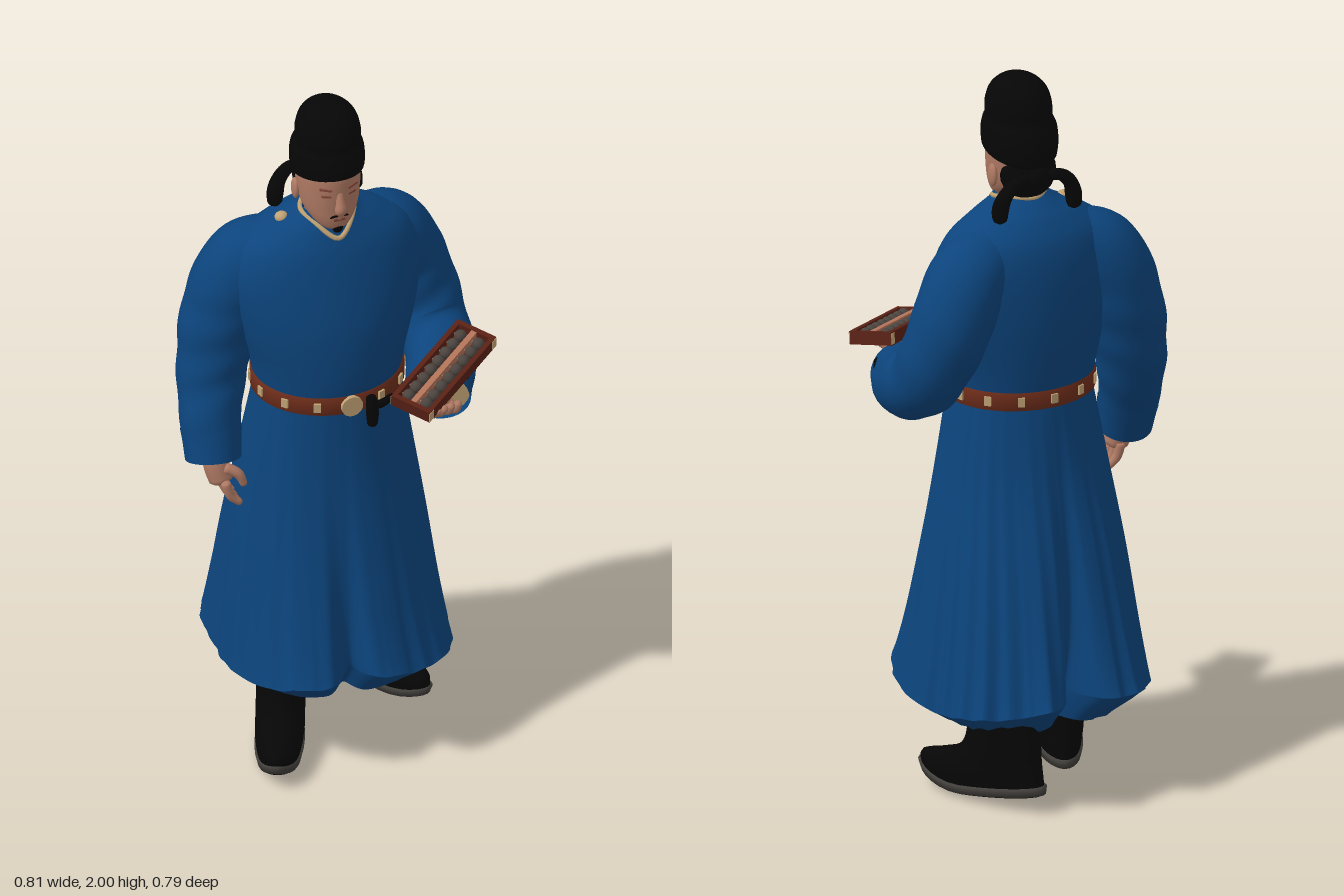
import * as THREE from 'three';
import { mergeVertices } from 'three/addons/utils/BufferGeometryUtils.js';

const mat = (name, color, side = THREE.FrontSide) => {
  const m = new THREE.MeshStandardMaterial({ color, side });
  m.name = name;
  return m;
};

// Smooth Catmull-Rom blend through a list of rows, t from 0 to 1
function blend(rows, t) {
  const n = rows.length - 1, i = Math.min(n - 1, Math.floor(t * n)), f = t * n - i;
  const [a, b, c, d] = [i - 1, i, i + 1, i + 2].map(k => rows[Math.max(0, Math.min(n, k))]);
  return b.map((_, k) => 0.5 * (2 * b[k] + (c[k] - a[k]) * f + (2 * a[k] - 5 * b[k] + 4 * c[k] - d[k]) * f * f
    + (3 * b[k] - a[k] - 3 * c[k] + d[k]) * f * f * f));
}

// Stacked horizontal rings, bottom to top; each section is [cx, y, cz, rx, rz]
function loft(sections, n, rows, warp) {
  const pos = [], idx = [];
  for (let j = 0; j <= rows; j++) {
    const [cx, y, cz, rx, rz] = blend(sections, j / rows);
    for (let i = 0; i < n; i++) {
      const a = i / n * Math.PI * 2;
      const p = new THREE.Vector3(cx + rx * Math.sin(a), y, cz + rz * Math.cos(a));
      if (warp) warp(p, a, j / rows, cx, cz);
      pos.push(p.x, p.y, p.z);
      if (j < rows) {
        const p0 = j * n + i, p1 = j * n + (i + 1) % n;
        idx.push(p0, p1, p1 + n, p0, p1 + n, p0 + n);
      }
    }
  }
  const g = new THREE.BufferGeometry();
  g.setAttribute('position', new THREE.Float32BufferAttribute(pos, 3));
  g.setIndex(idx);
  g.computeVertexNormals();
  return g;
}

// Tube of varying radius through [x, y, z, r] points
function limb(pts, { n = 10, seg = 18, open = false, wrinkle = 0 } = {}) {
  const curve = new THREE.CatmullRomCurve3(pts.map(p => new THREE.Vector3(p[0], p[1], p[2])));
  const g = new THREE.TubeGeometry(curve, seg, 1, n);
  const P = g.attributes.position, N = g.attributes.normal;
  for (let i = 0; i <= seg; i++) {
    const u = i / seg, c = curve.getPointAt(u), e = Math.min(1, Math.min(u, 1 - u) / 0.12);
    let r = blend(pts, curve.getUtoTmapping(u))[3];
    if (!open) r *= Math.sqrt(1 - (1 - e) ** 2);
    for (let j = 0; j <= n; j++) {
      const k = i * (n + 1) + j, a = j / n * Math.PI * 2;
      const w = r * (1 + wrinkle * Math.sin(u * 34 + 2.5 * Math.sin(a)) * Math.sin(u * Math.PI) * u);
      P.setXYZ(k, c.x + N.getX(k) * w, c.y + N.getY(k) * w, c.z + N.getZ(k) * w);
    }
  }
  g.deleteAttribute('normal');
  g.deleteAttribute('uv');
  const m = mergeVertices(g, 1e-5);
  m.computeVertexNormals();
  return m;
}

// Pleats and centre splits of the skirt; low is 1 at the hem, 0 at the waist
function pleat(p, a, low, lift, cx, cz) {
  const dip = (angle, width) => Math.exp(-((Math.atan2(Math.sin(a - angle), Math.cos(a - angle)) / width) ** 2));
  const s = Math.sin(a), c = Math.cos(a);
  const square = (Math.abs(s) ** 2.6 + Math.abs(c) ** 2.6) ** (-1 / 2.6);
  const depth = 0.035 - 0.02 * c;
  const fold = Math.sin(9 * a + 0.8) * 0.5 + Math.sin(25 * a + 2 * Math.sin(3 * a)) * 0.35
    + (0.5 - Math.abs(Math.sin(17 * a + Math.sin(2 * a)))) * 0.5;
  const k = 1 + (square - 1) * low * 0.8 + depth * low * fold - low * low * (0.24 * dip(-0.15, 0.13) + 0.42 * dip(Math.PI, 0.14));
  p.x = cx + (p.x - cx) * k;
  p.z = cz + (p.z - cz) * k;
  p.y += lift * (c * c + 0.15 * fold);
}

export function createModel() {
  const root = new THREE.Group();
  const M = {
    robe: mat('blue robe cloth', 0x0c447c, THREE.DoubleSide), black: mat('black cloth and leather', 0x060606, THREE.DoubleSide),
    skin: mat('skin', 0xb07a64), belt: mat('brown belt leather', 0x6e2d1a), gold: mat('pale gold', 0xc0a274, THREE.DoubleSide),
    wood: mat('dark red wood', 0x5a2116), bead: mat('grey beads', 0x4b443f), rod: mat('light wood', 0xb4745a),
    sole: mat('sole grey', 0x45423e), lip: mat('lip', 0x84493c),
  };
  const add = (name, geo, m, parent = root) => {
    const mesh = new THREE.Mesh(geo, m);
    mesh.name = name;
    parent.add(mesh);
    return mesh;
  };
  const ball = (name, m, x, y, z, sx, sy, sz, parent) => {
    const b = add(name, new THREE.SphereGeometry(1, 18, 12), m, parent);
    b.position.set(x, y, z);
    b.scale.set(sx, sy, sz);
    return b;
  };
  const box = (name, m, x, y, z, w, h, d, parent) => {
    const b = add(name, new THREE.BoxGeometry(w, h, d), m, parent);
    b.position.set(x, y, z);
    return b;
  };

  // Robe: broad-shouldered torso, pleated skirt and turned-in hem
  add('robeTorso', loft([[0, 1.08, -0.005, 0.195, 0.172], [0, 1.2, -0.01, 0.212, 0.188], [0, 1.34, -0.02, 0.25, 0.188],
    [0, 1.47, -0.033, 0.268, 0.168], [0, 1.56, -0.038, 0.235, 0.143], [0, 1.615, -0.034, 0.16, 0.112],
    [0, 1.645, -0.025, 0.1, 0.088], [0, 1.668, -0.012, 0.068, 0.068]], 56, 35), M.robe);
  add('robeSkirt', loft([[0.012, 0.26, -0.035, 0.315, 0.355], [0.008, 0.42, -0.035, 0.295, 0.315], [0.004, 0.65, -0.03, 0.268, 0.262],
    [0, 0.9, -0.015, 0.232, 0.205], [0, 1.13, -0.005, 0.195, 0.172]], 300, 28,
  (p, a, t, cx, cz) => pleat(p, a, 1 - t, 0.06 * (1 - t) ** 3, cx, cz)), M.robe);
  add('robeHem', loft([[0.01, 0.205, -0.03, 0.235, 0.25], [0.012, 0.26, -0.035, 0.315, 0.355]], 300, 4,
    (p, a, t, cx, cz) => pleat(p, a, 1, 0.015 + 0.045 * t, cx, cz)), M.robe);

  // Sleeves with turned cuffs and pale lining
  const rightArm = [[-0.1, 1.54, -0.06, 0.08], [-0.2, 1.48, -0.085, 0.108], [-0.262, 1.33, -0.098, 0.11],
    [-0.3, 1.15, -0.08, 0.095], [-0.32, 1.02, -0.035, 0.082], [-0.325, 0.92, 0, 0.072]];
  const leftArm = [[0.1, 1.54, -0.06, 0.08], [0.2, 1.48, -0.085, 0.108], [0.268, 1.34, -0.095, 0.11],
    [0.304, 1.2, -0.04, 0.1], [0.292, 1.135, 0.08, 0.094], [0.24, 1.11, 0.195, 0.085]];
  for (const [side, arm, cuffRadius] of [['right', rightArm, 0.083], ['left', leftArm, 0.092]]) {
    add(side + 'Sleeve', limb(arm, { n: 28, seg: 60, open: true, wrinkle: 0.04 }), M.robe);
    const [e, f] = [arm[5], arm[4]].map(p => new THREE.Vector3(p[0], p[1], p[2]));
    const dir = e.clone().sub(f).normalize(), from = e.clone().addScaledVector(dir, -0.085);
    add(side + 'Cuff', limb([[...from.toArray(), cuffRadius], [...e.toArray(), arm[5][3] + 0.004]], { n: 28, seg: 4, open: true }), M.robe);
    const lining = add(side + 'CuffLining', new THREE.CircleGeometry(arm[5][3], 28), M.gold);
    lining.position.copy(e).addScaledVector(dir, -0.02);
    lining.lookAt(e.clone().add(dir));
  }

  // Right hand hanging relaxed
  add('rightPalm', limb([[-0.325, 0.97, -0.005, 0.03], [-0.322, 0.91, 0.01, 0.036], [-0.308, 0.85, 0.025, 0.034]]), M.skin);
  for (let i = 0; i < 4; i++) {
    const z = 0.055 - i * 0.021;
    add('rightFinger', limb([[-0.312, 0.875, z, 0.014], [-0.3, 0.83, z + 0.005, 0.013], [-0.268, 0.79 + Math.abs(i - 1.5) * 0.006, z + 0.01, 0.01]]), M.skin);
  }
  add('rightThumb', limb([[-0.31, 0.91, 0.04, 0.015], [-0.275, 0.89, 0.055, 0.014], [-0.258, 0.85, 0.06, 0.01]]), M.skin);

  // Left hand carrying the abacus from below
  add('leftPalm', limb([[0.24, 1.12, 0.15, 0.034], [0.22, 1.145, 0.24, 0.036], [0.195, 1.168, 0.32, 0.036]]), M.skin);
  for (let i = 0; i < 4; i++)
    add('leftFinger', limb([[0.165 + i * 0.022, 1.155, 0.28, 0.015], [0.17 + i * 0.022, 1.16, 0.335, 0.014],
      [0.18 + i * 0.022, 1.19, 0.37 - i * 0.008, 0.01]]), M.skin);
  add('leftThumb', limb([[0.215, 1.15, 0.23, 0.017], [0.175, 1.175, 0.225, 0.015], [0.165, 1.21, 0.225, 0.012]]), M.skin);
  add('wristTie', limb([[0.33, 1.15, 0.12, 0.016], [0.335, 1.15, 0.16, 0.014], [0.305, 1.16, 0.215, 0.012]]), M.black);

  // Abacus: frame, divider, rods and two rows of beads
  const abacus = new THREE.Group();
  abacus.name = 'abacus';
  abacus.rotation.set(0.12, 0.647, 0.164, 'YZX');
  abacus.position.set(0.236, 1.227, 0.25);
  root.add(abacus);
  box('abacusBase', M.wood, 0, -0.012, 0, 0.325, 0.008, 0.115, abacus);
  for (const s of [-1, 1]) {
    box('abacusLongRail', M.wood, 0, 0, s * 0.054, 0.334, 0.036, 0.013, abacus);
    box('abacusEndRail', M.wood, s * 0.16, 0, 0, 0.014, 0.036, 0.12, abacus);
    for (const q of [-1, 1]) box('abacusCornerPlate', M.gold, s * 0.157, 0, q * 0.0605, 0.02, 0.03, 0.003, abacus);
  }
  box('abacusDivider', M.rod, 0, 0.004, 0, 0.306, 0.026, 0.016, abacus);
  for (let i = 0; i < 8; i++) {
    const x = (i - 3.5) * 0.037;
    box('abacusRod', M.rod, x, 0.003, 0, 0.004, 0.004, 0.1, abacus);
    for (const s of [-1, 1]) ball('abacusBead', M.bead, x, 0.005, s * 0.028, 0.0175, 0.0165, 0.017, abacus);
  }

  // Belt with plaques, round buckle and hanging pouch
  add('belt', loft([[0, 1.103, -0.005, 0.19, 0.17], [0, 1.104, -0.005, 0.209, 0.187], [0, 1.155, -0.006, 0.209, 0.187],
    [0, 1.156, -0.006, 0.19, 0.17]], 56, 3), M.belt);
  for (let i = 1; i < 14; i++) {
    const a = i / 14 * Math.PI * 2;
    const plate = box('beltPlaque', M.gold, 0.209 * Math.sin(a), 1.13, -0.005 + 0.188 * Math.cos(a), 0.019, 0.026, 0.009);
    plate.rotation.y = Math.atan2(Math.sin(a) / 0.209, Math.cos(a) / 0.188);
  }
  const buckle = add('beltBuckle', new THREE.CylinderGeometry(0.03, 0.03, 0.012, 20), M.gold);
  buckle.position.set(0, 1.128, 0.184);
  buckle.rotation.x = Math.PI / 2;
  add('beltPendant', limb([[0.055, 1.15, 0.182, 0.014], [0.057, 1.1, 0.187, 0.018], [0.057, 1.05, 0.187, 0.014]]), M.black);
  add('beltKnot', limb([[0.04, 1.12, 0.182, 0.01], [0.08, 1.11, 0.178, 0.012], [0.13, 1.115, 0.158, 0.009]]), M.black);

  // Collar trim and shoulder clasp
  add('collarTrim', new THREE.TubeGeometry(new THREE.CatmullRomCurve3([[0, 1.608, 0.086], [0.05, 1.642, 0.05], [0.074, 1.664, -0.015],
    [0, 1.668, -0.083], [-0.074, 1.664, -0.015], [-0.05, 1.642, 0.05]].map(p => new THREE.Vector3(...p)), true), 48, 0.007, 6, true), M.gold);
  ball('shoulderClasp', M.gold, -0.12, 1.632, -0.03, 0.019, 0.015, 0.018);

  // Head and face
  add('neck', new THREE.CylinderGeometry(0.055, 0.062, 0.13, 24), M.skin).position.set(0, 1.665, -0.01);
  add('head', loft([[0, 1.632, 0.045, 0.002, 0.002], [0, 1.636, 0.045, 0.035, 0.035], [0, 1.665, 0.025, 0.062, 0.066], [0, 1.7, 0.008, 0.078, 0.086],
    [0, 1.75, 0, 0.085, 0.097], [0, 1.8, -0.003, 0.087, 0.1], [0, 1.85, -0.003, 0.08, 0.09]], 36, 24), M.skin);
  add('nose', limb([[0, 1.765, 0.086, 0.01], [0, 1.735, 0.097, 0.012], [0, 1.708, 0.1, 0.017], [0, 1.698, 0.088, 0.012]]), M.skin);
  box('mouth', M.lip, 0, 1.672, 0.089, 0.032, 0.008, 0.006);
  ball('goatee', M.black, 0, 1.642, 0.076, 0.016, 0.021, 0.011);
  for (const s of [-1, 1]) {
    const side = s > 0 ? 'left' : 'right';
    ball(side + 'Ear', M.skin, s * 0.087, 1.728, -0.015, 0.01, 0.032, 0.019);
    add(side + 'Moustache', limb([[s * 0.004, 1.687, 0.094, 0.003], [s * 0.018, 1.684, 0.089, 0.004], [s * 0.03, 1.674, 0.081, 0.002]]), M.black);
    const brow = box(side + 'Brow', M.lip, s * 0.038, 1.774, 0.088, 0.034, 0.006, 0.005);
    brow.rotation.set(0, s * 0.45, s * 0.08);
    const eye = box(side + 'Eye', M.lip, s * 0.036, 1.752, 0.087, 0.026, 0.006, 0.005);
    eye.rotation.y = s * 0.42;
    // Ribbon tails tied behind the cap, widening as they fall
    add(side + 'Ribbon', limb([[s * 0.02, 1.735, -0.1, 0.016], [s * 0.07, 1.73, -0.108, 0.017], [s * 0.1, 1.7, -0.105, 0.02],
      [s * 0.112, 1.665, -0.1, 0.023], [s * 0.114, 1.62, -0.1, 0.02]]), M.black);
  }
  ball('hair', M.black, 0, 1.735, -0.05, 0.08, 0.076, 0.064);
  ball('ribbonKnot', M.black, 0, 1.735, -0.102, 0.034, 0.03, 0.024);

  // Rounded cap with a wide band, lower at the back
  add('cap', loft([[0, 1.785, -0.004, 0.088, 0.102], [0, 1.79, -0.005, 0.096, 0.113], [0, 1.825, -0.006, 0.099, 0.118], [0, 1.86, -0.006, 0.096, 0.112],
    [0, 1.885, -0.002, 0.087, 0.101], [0, 1.92, 0, 0.086, 0.1], [0, 1.96, 0, 0.073, 0.085], [0, 1.988, 0, 0.043, 0.05], [0, 2, 0, 0.001, 0.001]],
    40, 40, (p, a, t) => { p.y += 0.026 * Math.cos(a) * Math.max(0, 1 - t * 1.8); }), M.black);

  // Splayed boots with upturned toes; the left one trails with its heel lifted
  const curl = p => { p.y += 0.05 * Math.max(0, (p.z - 0.12) / 0.17) ** 2; };
  for (const [side, x, y, z, yaw, pitch] of [['right', -0.138, 0.005, 0.015, -0.4, 0], ['left', 0.15, 0.036, -0.215, 0.4, 0.15]]) {
    const boot = new THREE.Group();
    boot.name = side + 'Boot';
    boot.position.set(x, y, z);
    boot.rotation.set(pitch, yaw, 0, 'YXZ');
    root.add(boot);
    add('bootUpper', loft([[0, 0.02, 0.085, 0.06, 0.2], [0, 0.055, 0.08, 0.066, 0.195], [0, 0.09, 0.05, 0.066, 0.165], [0, 0.13, 0.01, 0.067, 0.125],
      [0, 0.2, -0.003, 0.069, 0.104], [0, 0.32, 0, 0.073, 0.102], [0, 0.48, 0.015, 0.075, 0.095]], 32, 24, curl), M.black, boot);
    add('bootSole', loft([[0, 0.006, 0.085, 0.001, 0.002], [0, 0, 0.085, 0.062, 0.202], [0, 0.022, 0.085, 0.067, 0.208],
      [0, 0.026, 0.085, 0.054, 0.195]], 32, 3, curl), M.sole, boot);
    add('soleBottom', loft([[0, 0.001, 0.085, 0.001, 0.002], [0, -0.004, 0.085, 0.054, 0.19], [0, 0.002, 0.085, 0.058, 0.197]], 32, 2, curl), M.black, boot);
  }
  return root;
}
